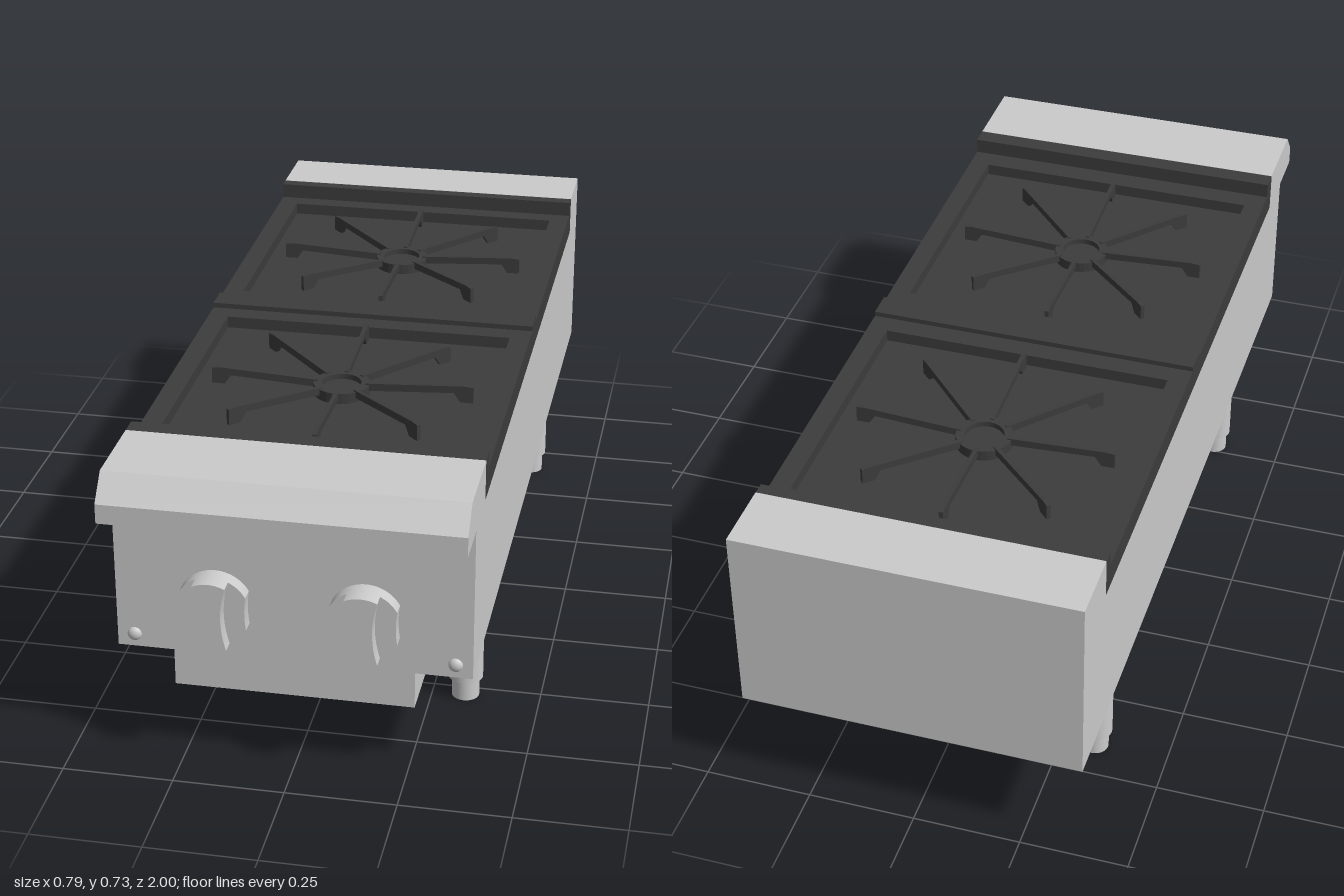
import * as THREE from 'three';

const grey = new THREE.MeshStandardMaterial({ color: 0xcccccc });
const iron = new THREE.MeshStandardMaterial({ color: 0x3c3c3c });
const W = 0.393;

function add(parent, name, geometry, material, x = 0, y = 0, z = 0) {
  const mesh = new THREE.Mesh(geometry, material);
  mesh.name = name;
  mesh.position.set(x, y, z);
  parent.add(mesh);
  return mesh;
}

// Box given by its limits on each axis
function block(parent, name, material, x0, x1, y0, y1, z0, z1) {
  return add(parent, name, new THREE.BoxGeometry(x1 - x0, y1 - y0, z1 - z0), material,
    (x0 + x1) / 2, (y0 + y1) / 2, (z0 + z1) / 2);
}

function polygon(points) {
  return new THREE.Shape(points.map(([a, b]) => new THREE.Vector2(a, b)));
}

function extrude(shape, depth) {
  return new THREE.ExtrudeGeometry(shape, { depth, bevelEnabled: false, curveSegments: 16 });
}

// Side profile (z, y) swept across the whole width
function acrossWidth(points) {
  const g = extrude(polygon(points.map(([z, y]) => [-z, y])), 2 * W);
  return g.rotateY(Math.PI / 2).translate(-W, 0, 0);
}

// Pinched round outline with concave flanks, used for the knob body
function knobOutline(halfWidth, waist, radius) {
  const h = Math.sqrt(radius * radius - halfWidth * halfWidth);
  const a = Math.atan2(h, halfWidth);
  const s = new THREE.Shape();
  s.moveTo(halfWidth, h);
  s.absarc(0, 0, radius, a, Math.PI - a, false);
  s.quadraticCurveTo(-waist, 0, -halfWidth, -h);
  s.absarc(0, 0, radius, Math.PI + a, 2 * Math.PI - a, false);
  s.quadraticCurveTo(waist, 0, halfWidth, h);
  return s;
}

function makeKnob() {
  const knob = new THREE.Group();
  knob.name = 'knob';
  add(knob, 'knobStem', new THREE.CylinderGeometry(0.043, 0.043, 0.025, 32).rotateX(Math.PI / 2), grey, 0, 0, 0.0125);
  add(knob, 'knobBody', extrude(knobOutline(0.073, 0.067, 0.083), 0.033), grey, 0, 0, 0.02);
  add(knob, 'knobGrip', extrude(knobOutline(0.036, 0.014, 0.083), 0.034), grey, 0, 0, 0.051);
  return knob;
}

// One burner: sunken pan, framed border, hub and eight hooked spokes
function makeBurner() {
  const burner = new THREE.Group();
  burner.name = 'burner';
  const hub = new THREE.Shape().absarc(0, 0, 0.065, 0, Math.PI * 2, false);
  hub.holes.push(new THREE.Path().absarc(0, 0, 0.045, 0, Math.PI * 2, true));
  add(burner, 'hubRing', extrude(hub, 0.025).rotateX(-Math.PI / 2), iron, 0, 0.66, 0);
  add(burner, 'burnerCap', new THREE.CylinderGeometry(0.045, 0.045, 0.012, 32), iron, 0, 0.666, 0);
  const spoke = extrude(polygon([
    [0.055, 0.67], [0.26, 0.682], [0.275, 0.66], [0.305, 0.66], [0.305, 0.698], [0.285, 0.7], [0.055, 0.688],
  ]), 0.01).translate(0, 0, -0.005);
  for (let i = 0; i < 8; i++) {
    add(burner, 'grateSpoke', spoke, iron).rotation.y = i * Math.PI / 4;
  }
  return burner;
}

export function createModel() {
  const model = new THREE.Group();
  model.name = 'countertopRange';

  // Housing with front ledge and recessed top
  add(model, 'housing', acrossWidth([
    [-1, 0.265], [0.885, 0.265], [0.885, 0.625], [1, 0.625], [1, 0.67], [0.95, 0.725],
    [0.755, 0.725], [0.755, 0.63], [-0.835, 0.63], [-0.835, 0.725], [-1, 0.725],
  ]), grey);
  block(model, 'lowerTray', grey, -0.267, 0.267, 0.178, 0.265, -0.835, 0.885);

  // Cooking surface: floor, frame with two openings, end rims, divider
  block(model, 'panFloor', iron, -W, W, 0.63, 0.66, -0.835, 0.755);
  const frame = polygon([[-W, -0.755], [W, -0.755], [W, 0.835], [-W, 0.835]]);
  const centres = [0.3425, -0.4475];
  for (const z of centres) {
    const a = -z - 0.3125, b = -z + 0.3125;
    frame.holes.push(polygon([[-0.345, a], [-0.345, b], [0.345, b], [0.345, a]]));
  }
  add(model, 'grateFrame', extrude(frame, 0.028).rotateX(-Math.PI / 2), iron, 0, 0.66, 0);
  block(model, 'frontRim', iron, -W, W, 0.68, 0.7245, 0.71, 0.755);
  block(model, 'backRim', iron, -W, W, 0.68, 0.7245, -0.835, -0.805);
  block(model, 'divider', iron, -W, W, 0.68, 0.7, -0.085, -0.02);
  for (const z of centres) {
    const burner = makeBurner();
    burner.position.z = z;
    model.add(burner);
  }

  for (const side of [-1, 1]) {
    const knob = makeKnob();
    knob.position.set(side * 0.164, 0.402, 0.885);
    model.add(knob);

    // Domed panel screws
    for (const y of [0.592, 0.296]) {
      const dome = new THREE.SphereGeometry(0.016, 20, 8, 0, Math.PI * 2, 0, Math.PI / 2);
      dome.rotateX(Math.PI / 2).scale(1, 1, 0.7);
      add(model, 'panelScrew', dome, grey, side * 0.355, y, 0.885);
    }

    // Legs with adjustable feet
    for (const z of [0.527, -0.655]) {
      add(model, 'leg', new THREE.CylinderGeometry(0.04, 0.04, 0.215, 32), grey, side * 0.327, 0.1575, z);
      add(model, 'foot', new THREE.CylinderGeometry(0.032, 0.032, 0.05, 32), grey, side * 0.327, 0.025, z);
    }
  }
  return model;
}
